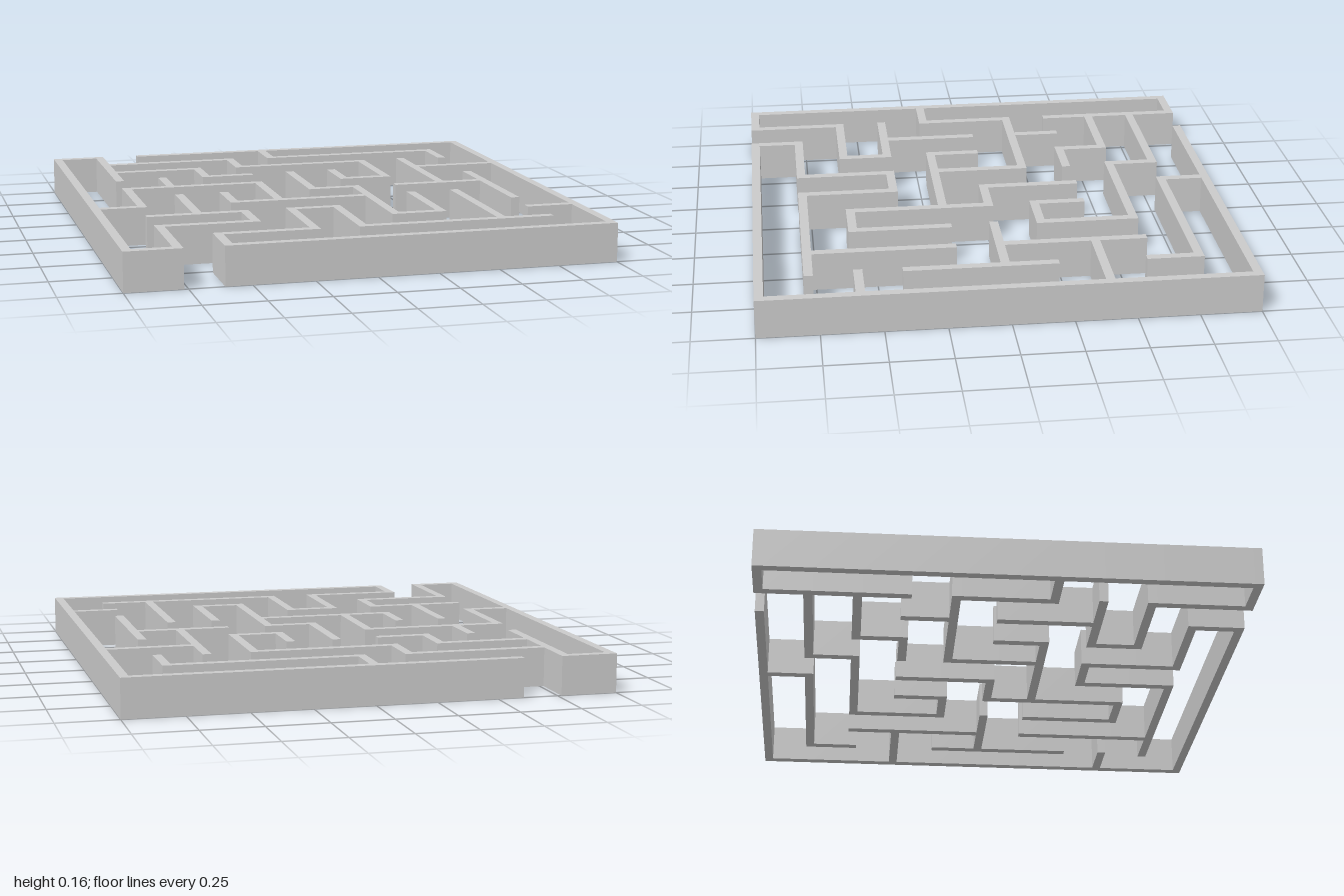
import * as THREE from 'three';

const CELLS = 10, HEIGHT = 0.16, THICK = 0.037;
const PITCH = (2 - THICK) / CELLS;

// Walls running along x, one entry per grid line from back to front: [from, to]
const ROWS = [
  [[0, 1], [2, 10]],
  [[1, 4], [5, 9]],
  [[1, 3], [4, 7]],
  [[3, 4], [8, 10]],
  [[1, 4], [6, 7]],
  [[5, 6], [7, 9]],
  [[0, 1], [3, 6]],
  [[1, 3], [4, 5]],
  [[1, 3], [6, 7], [9, 10]],
  [[2, 4], [5, 9]],
  [[0, 1], [2, 10]],
];

// Walls running along z, one entry per grid line from -x to +x: [from, to]
const COLUMNS = [
  [[0, 10]],
  [[0, 3], [4, 6], [8, 10]],
  [[3, 4], [5, 7], [9, 10]],
  [[2, 3], [5, 6], [7, 8]],
  [[1, 2], [4, 6], [7, 9]],
  [[0, 1], [3, 5], [7, 9]],
  [[3, 4], [5, 8]],
  [[2, 4], [6, 8]],
  [[2, 5], [6, 9]],
  [[1, 2], [4, 7]],
  [[0, 10]],
];

// Start of plan strip i: even strips are wall-thick, odd strips are corridors
const edge = (i) => -1 + Math.floor(i / 2) * PITCH + (i % 2) * THICK;

// Mark which plan tiles are solid, so that joined walls share one clean skin
function solidTiles() {
  const tiles = new Set();
  const key = (i, k) => `${i},${k}`;
  ROWS.forEach((spans, row) => spans.forEach(([a, b]) => {
    for (let i = 2 * a; i <= 2 * b; i++) tiles.add(key(i, 2 * row));
  }));
  COLUMNS.forEach((spans, col) => spans.forEach(([a, b]) => {
    for (let k = 2 * a; k <= 2 * b; k++) tiles.add(key(2 * col, k));
  }));
  return (i, k) => tiles.has(key(i, k));
}

function wallGeometry() {
  const solid = solidTiles();
  const positions = [];
  const quad = (a, b, c, d) => positions.push(...a, ...b, ...c, ...a, ...c, ...d);
  const side = (xa, za, xb, zb) =>
    quad([xa, 0, za], [xb, 0, zb], [xb, HEIGHT, zb], [xa, HEIGHT, za]);

  for (let i = 0; i <= 2 * CELLS; i++) {
    for (let k = 0; k <= 2 * CELLS; k++) {
      if (!solid(i, k)) continue;
      const x0 = edge(i), x1 = edge(i + 1), z0 = edge(k), z1 = edge(k + 1);
      // Top and underside
      quad([x0, HEIGHT, z1], [x1, HEIGHT, z1], [x1, HEIGHT, z0], [x0, HEIGHT, z0]);
      quad([x0, 0, z0], [x1, 0, z0], [x1, 0, z1], [x0, 0, z1]);
      // Exposed sides only
      if (!solid(i, k + 1)) side(x0, z1, x1, z1);
      if (!solid(i, k - 1)) side(x1, z0, x0, z0);
      if (!solid(i + 1, k)) side(x1, z1, x1, z0);
      if (!solid(i - 1, k)) side(x0, z0, x0, z1);
    }
  }
  const geometry = new THREE.BufferGeometry();
  geometry.setAttribute('position', new THREE.Float32BufferAttribute(positions, 3));
  geometry.computeVertexNormals();
  return geometry;
}

export function createModel() {
  const maze = new THREE.Group();
  maze.name = 'maze';
  const walls = new THREE.Mesh(
    wallGeometry(),
    new THREE.MeshStandardMaterial({ color: 0xcccccc, flatShading: true }),
  );
  walls.name = 'mazeWalls';
  maze.add(walls);
  return maze;
}
